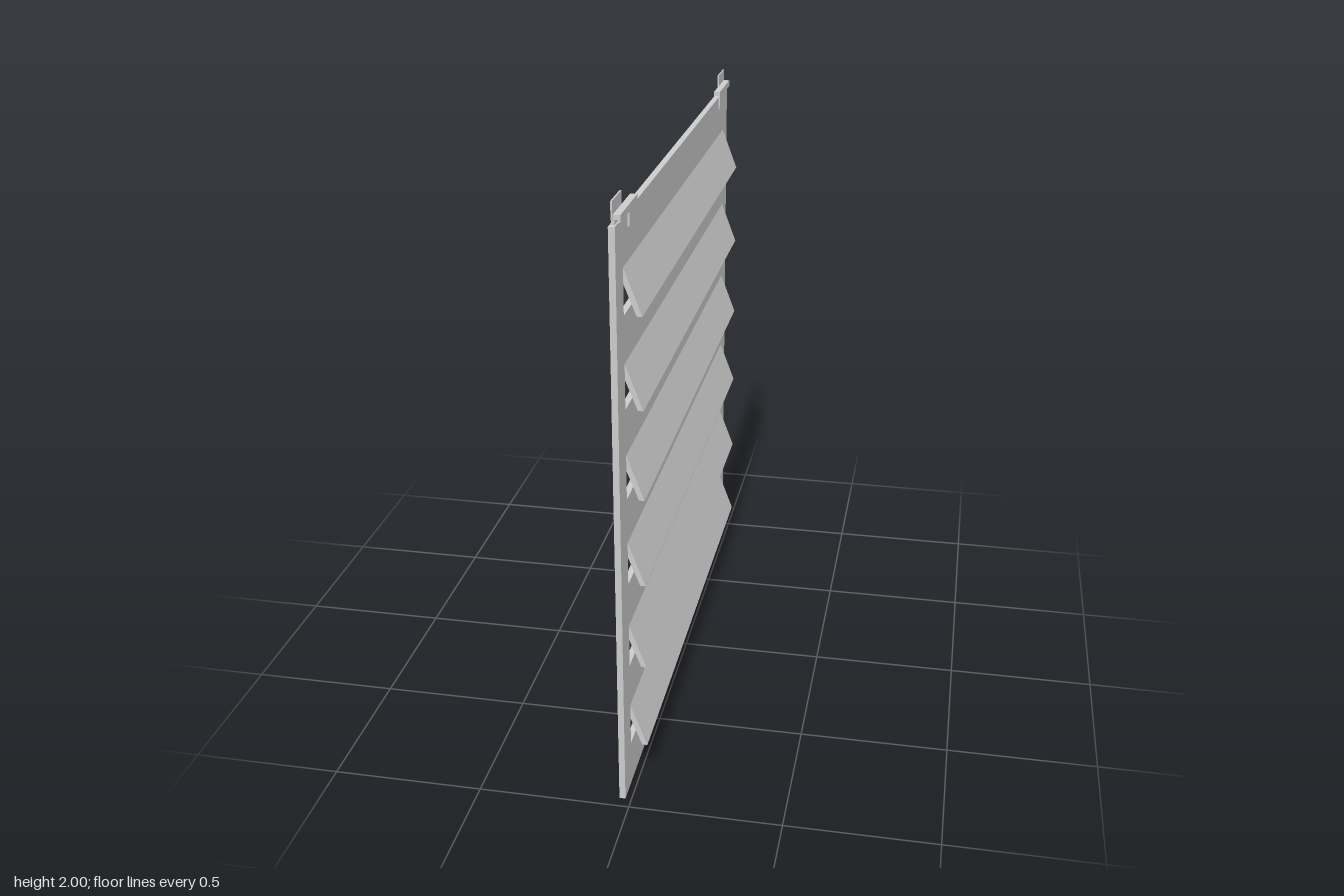
import * as THREE from 'three';

const material = new THREE.MeshStandardMaterial({ color: 0xcccccc, flatShading: true });
const BACK = -0.04, FACE = -0.02;      // x of the sheet's two sides
const HEIGHT = 1.93, HALF = 0.96;      // sheet height and half width
const SLOT_HALF = 0.868, SLOT_HEIGHT = 0.147;
const slotBottoms = [0, 1, 2, 3, 4, 5].map((i) => 0.152 + i * 0.297);

function rectangle(Type, x0, y0, x1, y1) {
  return new Type([[x0, y0], [x1, y0], [x1, y1], [x0, y1]].map(([x, y]) => new THREE.Vector2(x, y)));
}

function part(name, geometry) {
  const mesh = new THREE.Mesh(geometry, material);
  mesh.name = name;
  return mesh;
}

// Box given by its lower and upper corners
function block(name, [x0, y0, z0], [x1, y1, z1]) {
  const mesh = part(name, new THREE.BoxGeometry(x1 - x0, y1 - y0, z1 - z0));
  mesh.position.set((x0 + x1) / 2, (y0 + y1) / 2, (z0 + z1) / 2);
  return mesh;
}

export function createModel() {
  const group = new THREE.Group();
  group.name = 'louvredPanel';

  // Flat sheet with six slots, turned to face +x
  const sheet = rectangle(THREE.Shape, -HALF, 0, HALF, HEIGHT);
  for (const y of slotBottoms) {
    sheet.holes.push(rectangle(THREE.Path, -SLOT_HALF, y, SLOT_HALF, y + SLOT_HEIGHT));
  }
  const sheetGeometry = new THREE.ExtrudeGeometry(sheet, { depth: FACE - BACK, bevelEnabled: false });
  sheetGeometry.rotateY(Math.PI / 2).translate(BACK, 0, 0);
  group.add(part('sheet', sheetGeometry));

  // Slats bent outward from the top of each slot
  const slat = new THREE.Shape([
    [BACK, SLOT_HEIGHT], [0.018, 0], [0.035, 0], [FACE, SLOT_HEIGHT],
  ].map(([x, y]) => new THREE.Vector2(x, y)));
  const slatGeometry = new THREE.ExtrudeGeometry(slat, { depth: 2 * SLOT_HALF, bevelEnabled: false });
  slatGeometry.translate(0, 0, -SLOT_HALF);
  for (const y of slotBottoms) {
    const mesh = part('slat', slatGeometry);
    mesh.position.y = y;
    group.add(mesh);
  }

  // Bent clips at both top corners: a tab up, a ledge and a tab down
  for (const side of [1, -1]) {
    const clip = new THREE.Group();
    clip.name = 'clip';
    const span = (a, b) => (side > 0 ? [a, b] : [-b, -a]);
    const add = (name, x0, x1, y0, y1, a, b) => {
      const [z0, z1] = span(a, b);
      clip.add(block(name, [x0, y0, z0], [x1, y1, z1]));
    };
    add('upperTab', -0.035, -0.03, 1.945, 2, 0.83, 0.947);
    add('ledge', -0.03, -0.013, 1.945, 1.96, 0.72, 0.942);
    add('lowerTab', -0.013, -0.008, 1.895, 1.96, 0.72, 0.83);
    add('ledgeLip', -0.013, -0.008, 1.938, 1.96, 0.83, 0.942);
    add('clipFoot', -0.035, -0.025, 1.93, 1.945, 0.83, 0.942);
    group.add(clip);
  }
  return group;
}
